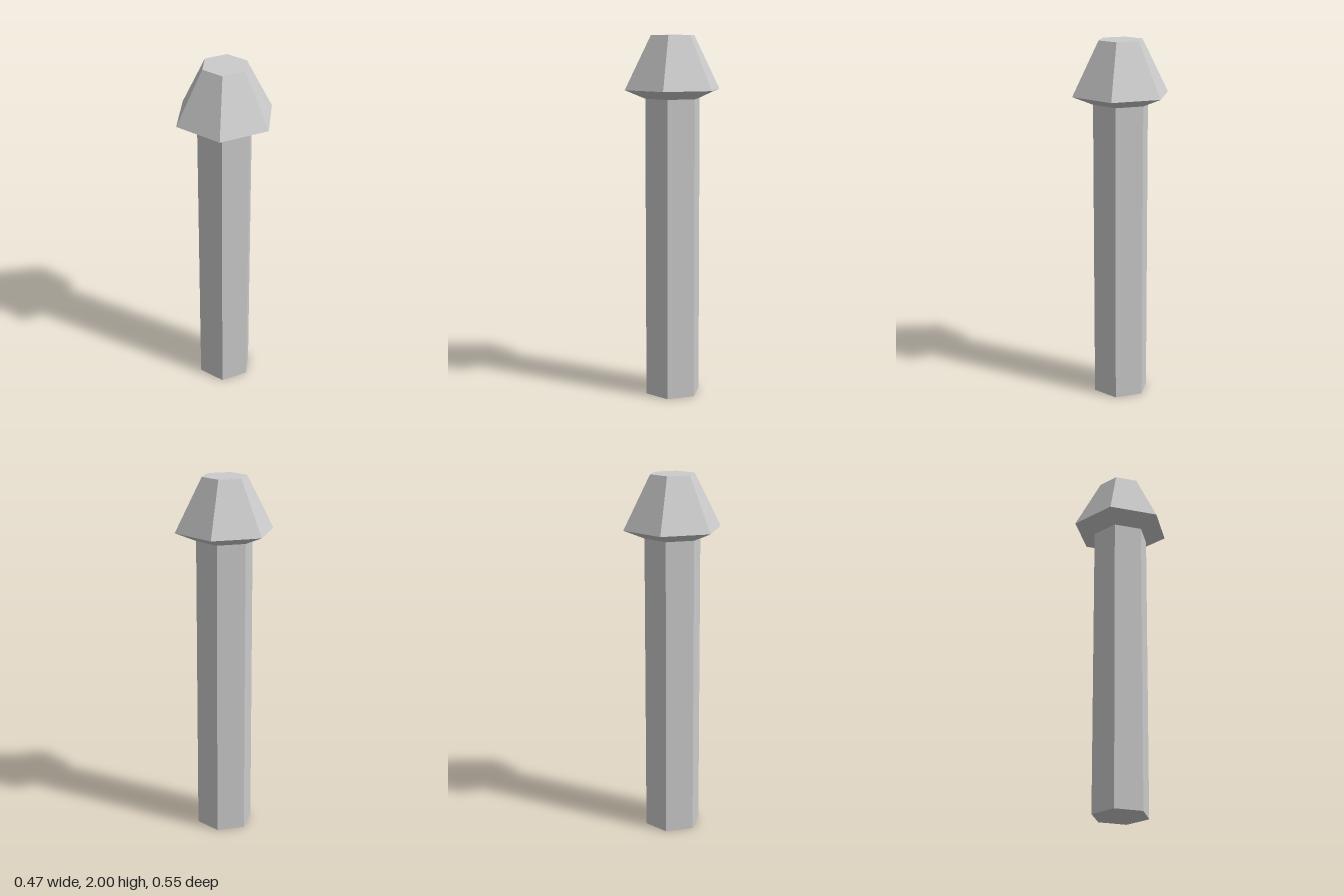
import * as THREE from 'three';

const SIDES = 6;

export function createModel() {
  const model = new THREE.Group();
  const material = new THREE.MeshStandardMaterial({ color: 0xcccccc, flatShading: true });

  // Six-sided frustum standing between two heights, corners on the z axis
  function frustum(name, rBottom, rTop, y0, y1, open = false) {
    const geometry = new THREE.CylinderGeometry(rTop, rBottom, y1 - y0, SIDES, 1, open);
    geometry.translate(0, (y0 + y1) / 2, 0);
    const mesh = new THREE.Mesh(geometry, material);
    mesh.name = name;
    return mesh;
  }

  // Straight post
  model.add(frustum('post', 0.157, 0.157, 0, 1.66));

  // Cap: flared underside, then a tapering roof with a flat top
  const cap = new THREE.Group();
  cap.name = 'cap';
  cap.add(frustum('capUnderside', 0.157, 0.273, 1.66, 1.708, true));
  const roof = frustum('capRoof', 0.273, 0.124, 1.708, 2, true);
  const top = new THREE.Mesh(new THREE.CircleGeometry(0.124, SIDES, Math.PI / 2), material);
  top.name = 'capTop';
  top.rotation.x = -Math.PI / 2;
  top.position.y = 2;
  cap.add(roof, top);
  model.add(cap);

  return model;
}
